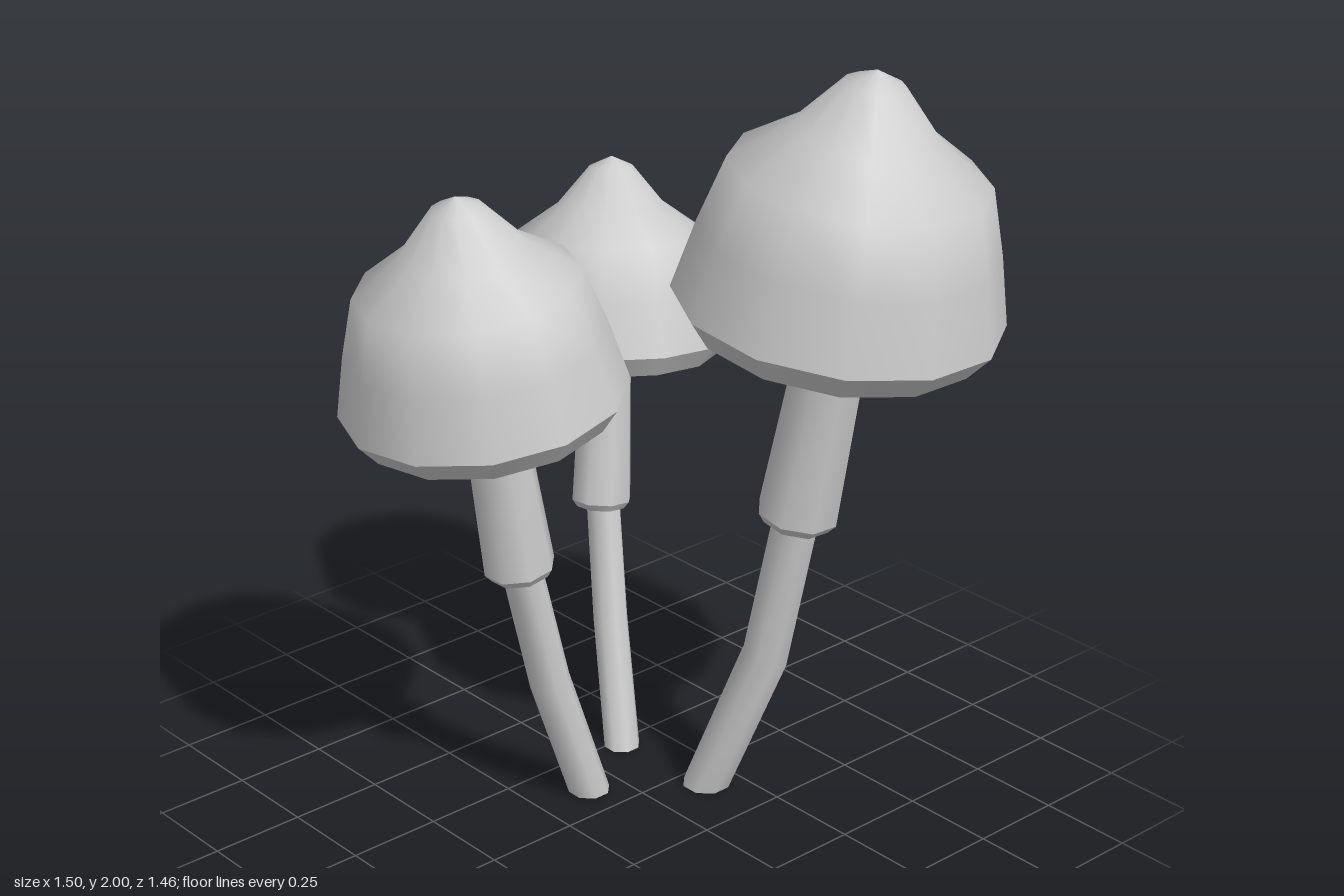
import * as THREE from 'three';

const UP = new THREE.Vector3(0, 1, 0);
const SIDES = 8;
const material = new THREE.MeshStandardMaterial({ color: 0xcccccc });

function addMesh(parent, name, geometry) {
  const mesh = new THREE.Mesh(geometry, material);
  mesh.name = name;
  parent.add(mesh);
  return mesh;
}

// Smooth skin through rings given as { p: centre, r: radius, d: facing direction }
function loft(rings) {
  const pos = [], index = [];
  const q = new THREE.Quaternion();
  rings.forEach(({ p, r, d }, i) => {
    q.setFromUnitVectors(UP, d.clone().normalize());
    for (let k = 0; k < SIDES; k++) {
      const a = ((k + 0.5) / SIDES) * Math.PI * 2;
      const v = new THREE.Vector3(Math.cos(a) * r, 0, Math.sin(a) * r).applyQuaternion(q).add(p);
      pos.push(v.x, v.y, v.z);
      if (i === 0) continue;
      const n = (k + 1) % SIDES, lo = (i - 1) * SIDES, hi = i * SIDES;
      index.push(lo + k, hi + k, lo + n, lo + n, hi + k, hi + n);
    }
  });
  const g = new THREE.BufferGeometry();
  g.setAttribute('position', new THREE.Float32BufferAttribute(pos, 3));
  g.setIndex(index);
  g.computeVertexNormals();
  return g;
}

// Cap profiles as [radius, height above the rim], for the largest size
const CAP = [[0.413, 0], [0.372, 0.18], [0.322, 0.352], [0.182, 0.45], [0.075, 0.578], [0, 0.612]];
const LIP = [[0.36, -0.07], [0.413, 0]];
const GILLS = [[0, 0.32], [0.22, 0.22], [0.315, 0.08], [0.36, -0.07]];

function lathe(profile) {
  return new THREE.LatheGeometry(profile.map(([r, h]) => new THREE.Vector2(r, h)), 12);
}

function mushroom({ name, size, path, rim, lean, turn }) {
  const group = new THREE.Group();
  group.name = name;
  const [base, bend, collarLow, collarTop] = path.map((p) => new THREE.Vector3(...p));
  const lower = bend.clone().sub(base);
  const upper = collarLow.clone().sub(bend);
  const collarDir = collarTop.clone().sub(collarLow).normalize();
  const along = (t) => collarLow.clone().addScaledVector(collarDir, t * size);

  // Bent stem with a flat foot
  const r = 0.062 * size;
  addMesh(group, 'stem', loft([
    { p: base, r: r * 1.03, d: UP },
    { p: bend, r, d: lower.normalize().add(upper.normalize()) },
    { p: along(0.06), r: r * 0.97, d: collarDir },
  ]));
  const foot = addMesh(group, 'stemFoot', new THREE.CircleGeometry(r * 1.03, SIDES, Math.PI / SIDES));
  foot.rotation.x = Math.PI / 2;
  foot.position.copy(base);

  // Sleeve around the upper stem, running up into the cap
  const topReach = collarTop.distanceTo(collarLow) / size;
  addMesh(group, 'collar', loft([
    { p: along(0), r: 0.106 * size, d: collarDir },
    { p: along(topReach), r: 0.09 * size, d: collarDir },
    { p: along(topReach + 0.25), r: 0.084 * size, d: collarDir },
  ]));
  addMesh(group, 'collarRim', loft([
    { p: along(0), r: r * 0.95, d: collarDir },
    { p: along(-0.025), r: 0.088 * size, d: collarDir },
  ]));
  addMesh(group, 'collarEdge', loft([
    { p: along(-0.025), r: 0.088 * size, d: collarDir },
    { p: along(0), r: 0.106 * size, d: collarDir },
  ]));
  addMesh(group, 'collarUnderside', loft([
    { p: along(-0.025), r: r * 0.9, d: collarDir },
    { p: along(-0.0251), r: 0.088 * size, d: collarDir },
  ]));

  // Tilted bell-shaped cap
  const cap = new THREE.Group();
  cap.name = 'capGroup';
  addMesh(cap, 'cap', lathe(CAP));
  addMesh(cap, 'capLip', lathe(LIP));
  addMesh(cap, 'capGills', lathe(GILLS));
  cap.scale.setScalar(size);
  cap.position.set(...rim);
  cap.quaternion.setFromUnitVectors(UP, new THREE.Vector3(lean[0], 1, lean[1]).normalize());
  cap.rotateY(-THREE.MathUtils.degToRad(turn));
  group.add(cap);
  return group;
}

export function createModel() {
  const model = new THREE.Group();
  model.name = 'mushrooms';
  model.add(
    mushroom({
      name: 'largeMushroom', size: 1, turn: 12.5,
      path: [[0.07, 0, -0.163], [0.21, 0.41, -0.235], [0.28, 0.83, -0.272], [0.367, 1.33, -0.3]],
      rim: [0.35, 1.393, -0.326], lean: [0.125, -0.05],
    }),
    mushroom({
      name: 'mediumMushroom', size: 0.868, turn: 6,
      path: [[-0.11, 0, 0.09], [-0.125, 0.36, 0.207], [-0.137, 0.71, 0.29], [-0.15, 1.13, 0.353]],
      rim: [-0.158, 1.19, 0.375], lean: [-0.015, 0.13],
    }),
    mushroom({
      name: 'smallMushroom', size: 0.768, turn: 16,
      path: [[-0.23, 0, -0.13], [-0.333, 0.33, -0.18], [-0.41, 0.645, -0.217], [-0.443, 1.06, -0.265]],
      rim: [-0.447, 1.092, -0.288], lean: [-0.11, -0.1],
    }),
  );
  return model;
}
